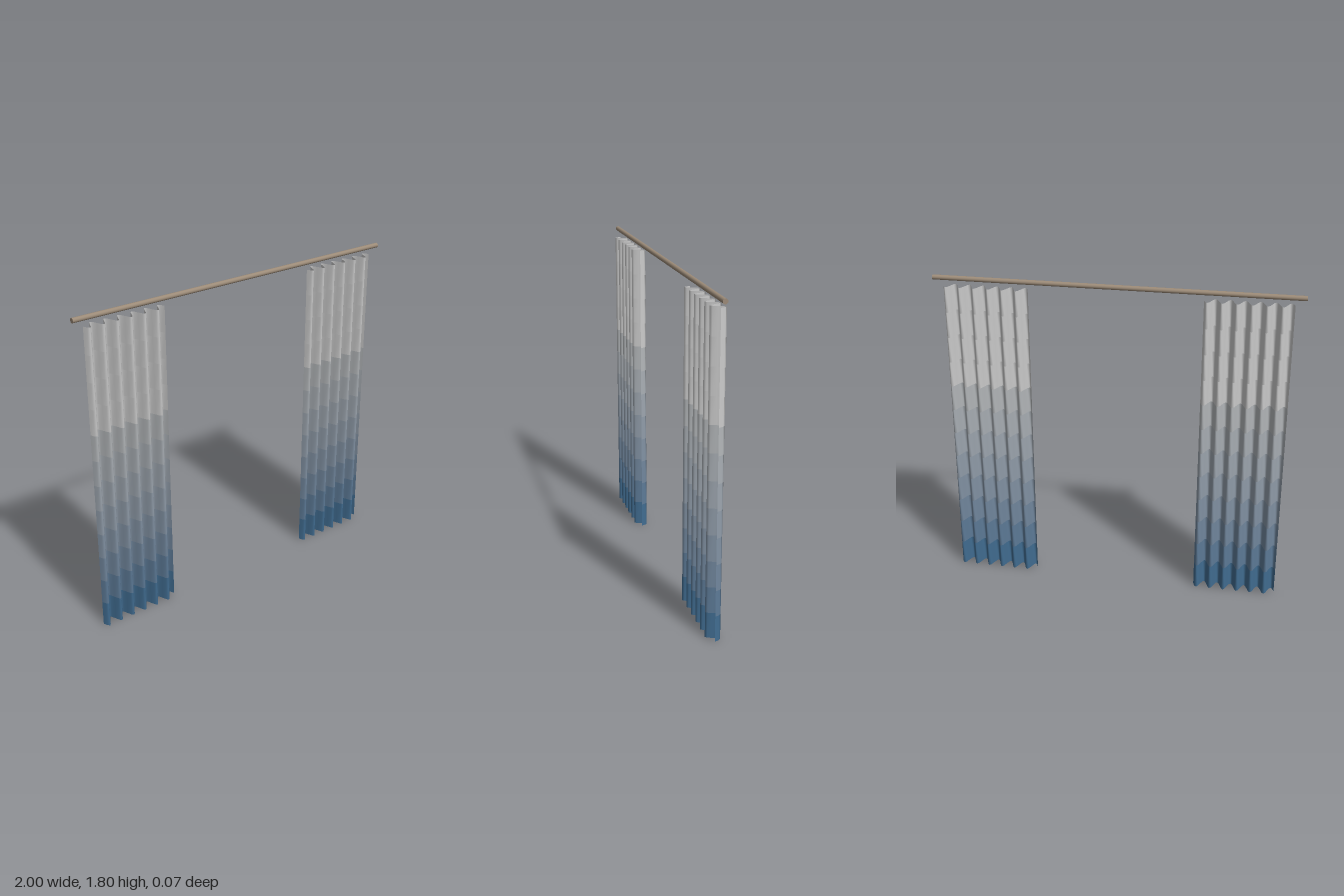
import * as THREE from 'three';

const ROD_Y = 1.783, ROD_RADIUS = 0.0135;
const WIDTH = 0.47, HEIGHT = 1.74, FOLDS = 6, DEPTH = 0.035;
const BANDS = 12;

// One horizontal strip of pleated cloth, folded along a sine wave
function pleatedStrip(height) {
  const geometry = new THREE.PlaneGeometry(WIDTH, height, FOLDS * 8, 1);
  const p = geometry.attributes.position;
  for (let i = 0; i < p.count; i++) {
    const t = p.getX(i) / WIDTH + 0.5;
    p.setZ(i, DEPTH * Math.sin(t * FOLDS * Math.PI * 2));
  }
  geometry.computeVertexNormals();
  return geometry;
}

export function createModel() {
  const model = new THREE.Group();
  model.name = 'curtains';

  // Rod
  const rod = new THREE.Mesh(
    new THREE.CylinderGeometry(ROD_RADIUS, ROD_RADIUS, 2, 16),
    new THREE.MeshStandardMaterial({ color: 0x9c8b78 })
  );
  rod.name = 'rod';
  rod.rotation.z = Math.PI / 2;
  rod.position.y = ROD_Y;
  model.add(rod);

  // Cloth dyed from blue at the hem to pale grey at the top
  const bandHeight = HEIGHT / BANDS;
  const strip = pleatedStrip(bandHeight);
  const hem = new THREE.Color(0x35688f), top = new THREE.Color(0xc4c4c2);
  const dyes = Array.from({ length: BANDS }, (_, i) => new THREE.MeshStandardMaterial({
    color: hem.clone().lerp(top, Math.min(1, (i + 0.3) / (BANDS * 0.75))),
    side: THREE.DoubleSide
  }));

  // Two drawn-back curtains
  for (const [name, x] of [['leftCurtain', 0.707], ['rightCurtain', -0.707]]) {
    const curtain = new THREE.Group();
    curtain.name = name;
    curtain.position.x = x;
    dyes.forEach((dye, i) => {
      const band = new THREE.Mesh(strip, dye);
      band.name = 'clothBand';
      band.position.y = (i + 0.5) * bandHeight;
      curtain.add(band);
    });
    model.add(curtain);
  }
  return model;
}
